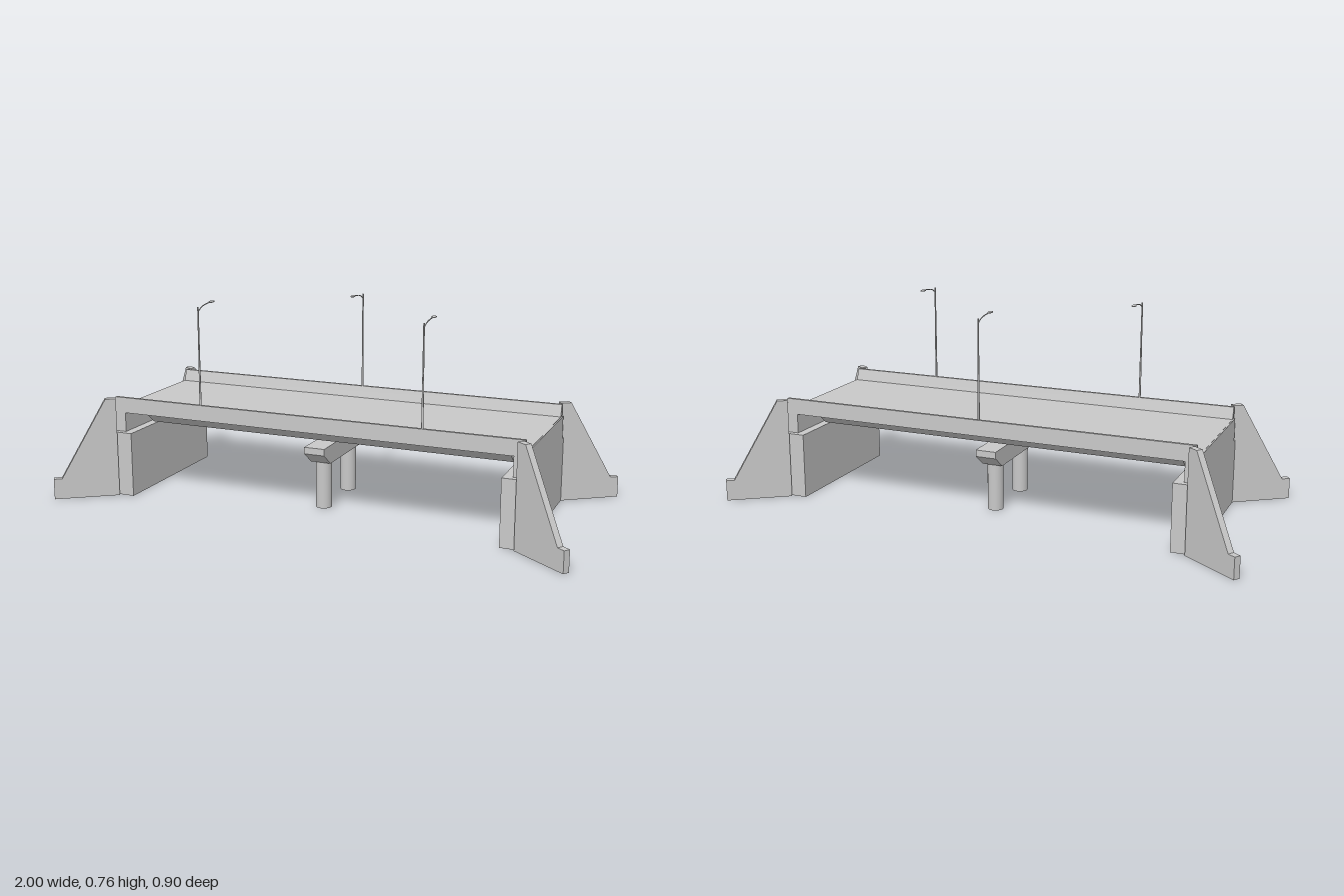
import * as THREE from 'three';

const concrete = new THREE.MeshStandardMaterial({ color: 0xc8c8c8 });
concrete.name = 'concrete grey';

function add(parent, name, geometry, x = 0, y = 0, z = 0) {
  const mesh = new THREE.Mesh(geometry, concrete);
  mesh.name = name;
  mesh.position.set(x, y, z);
  parent.add(mesh);
  return mesh;
}

function extrude(points, depth) {
  const shape = new THREE.Shape(points.map(([x, y]) => new THREE.Vector2(x, y)));
  return new THREE.ExtrudeGeometry(shape, { depth, bevelEnabled: false });
}

// Cross-section given as its +z half [z, y] from bottom to top, mirrored and run along x
function spanSection(half, length) {
  const mirrored = half.map(([z, y]) => [-z, y]).reverse();
  const g = extrude([...half, ...mirrored], length);
  g.translate(0, 0, -length / 2);
  g.rotateY(Math.PI / 2);
  return g;
}

// Street lamp standing at the origin with its arm reaching toward -z
function createLamp() {
  const lamp = new THREE.Group();
  lamp.name = 'streetLamp';
  add(lamp, 'lowerPole', new THREE.CylinderGeometry(0.0035, 0.004, 0.17, 10), 0, 0.085, 0);
  add(lamp, 'upperPole', new THREE.CylinderGeometry(0.0028, 0.0032, 0.2, 10), 0, 0.27, 0);
  const path = new THREE.CatmullRomCurve3([
    new THREE.Vector3(0, 0.353, 0),
    new THREE.Vector3(0, 0.367, -0.028),
    new THREE.Vector3(0, 0.373, -0.065),
    new THREE.Vector3(0, 0.375, -0.095),
  ]);
  add(lamp, 'arm', new THREE.TubeGeometry(path, 8, 0.002, 6));
  const head = add(lamp, 'lampHead', new THREE.SphereGeometry(1, 12, 8), 0, 0.375, -0.105);
  head.scale.set(0.009, 0.004, 0.018);
  return lamp;
}

// Tapered wing wall: profile along its length, turned outward in plan
function createWing(sx, sz) {
  const profile = [[0, 0], [0.247, 0], [0.247, 0.08], [0.215, 0.08], [0.04, 0.385], [0, 0.385]];
  const geometry = extrude(profile, 0.025);
  geometry.translate(0, 0, -0.0125);
  const wing = new THREE.Mesh(geometry, concrete);
  wing.name = 'wingWall';
  const angle = Math.atan2(0.58, 0.815);
  wing.position.set(sx * 0.792, 0, sz * 0.297);
  wing.rotation.y = Math.atan2(-sz * Math.sin(angle), sx * Math.cos(angle));
  return wing;
}

export function createModel() {
  const bridge = new THREE.Group();
  bridge.name = 'bridge';

  // Roadway with sloped parapets, and the box girder beneath
  add(bridge, 'deckAndParapets', spanSection(
    [[0.277, 0.325], [0.277, 0.385], [0.265, 0.385], [0.253, 0.34]], 1.61));
  add(bridge, 'boxGirder', spanSection([[0.13, 0.26], [0.19, 0.31], [0.275, 0.326]], 1.46));

  // Abutments with seat, back wall and wings
  for (const sx of [-1, 1]) {
    const abutment = new THREE.Group();
    abutment.name = sx > 0 ? 'leftAbutment' : 'rightAbutment';
    add(abutment, 'seatWall', new THREE.BoxGeometry(0.08, 0.25, 0.592), sx * 0.77, 0.125, 0);
    add(abutment, 'backWall', new THREE.BoxGeometry(0.045, 0.092, 0.55), sx * 0.7875, 0.293, 0);
    for (const sz of [-1, 1]) abutment.add(createWing(sx, sz));
    bridge.add(abutment);
  }

  // Middle pier: hammerhead cap on two round columns
  const pier = new THREE.Group();
  pier.name = 'pier';
  add(pier, 'pierCap', spanSection([[0.15, 0.18], [0.21, 0.225], [0.21, 0.25]], 0.08));
  for (const sz of [-1, 1]) {
    add(pier, 'pierColumn', new THREE.CylinderGeometry(0.03, 0.03, 0.18, 20), 0, 0.09, sz * 0.12);
  }
  bridge.add(pier);

  // Two lamps on the front parapet, one on the back
  for (const [x, side] of [[-0.437, 1], [0.437, 1], [0, -1]]) {
    const lamp = createLamp();
    lamp.position.set(x, 0.385, side * 0.269);
    if (side < 0) lamp.rotation.y = Math.PI;
    bridge.add(lamp);
  }
  return bridge;
}
